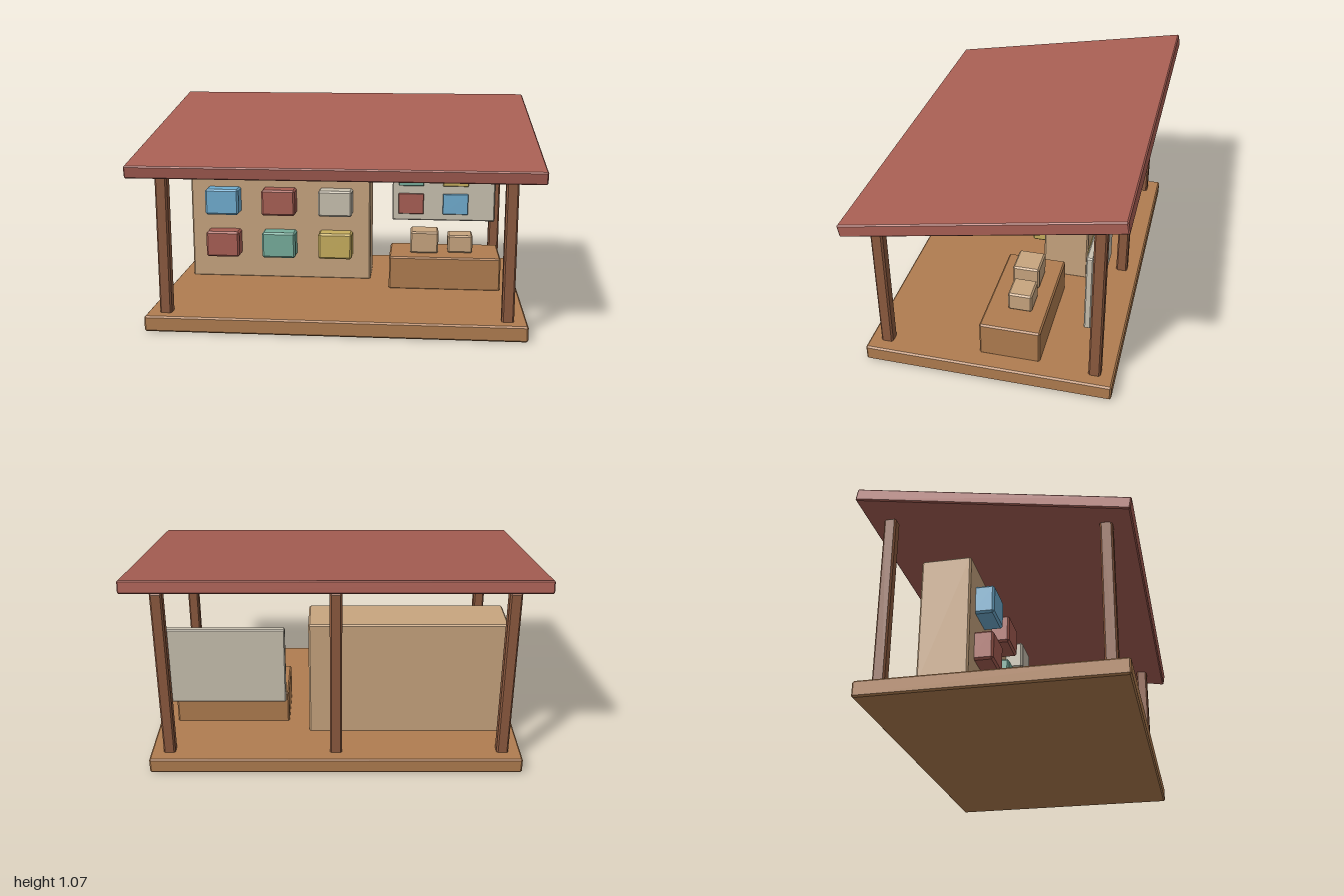
import * as THREE from 'three';
import { ConvexGeometry } from 'three/addons/geometries/ConvexGeometry.js';

const mat = (name, color) => {
  const m = new THREE.MeshStandardMaterial({ color });
  m.name = name;
  return m;
};

// Box with chamfered edges, flat faced
function chamferBox(w, h, d, b) {
  const half = [w / 2, h / 2, d / 2];
  const points = [];
  for (const sx of [-1, 1]) for (const sy of [-1, 1]) for (const sz of [-1, 1])
    for (let full = 0; full < 3; full++) {
      const c = half.map((v, i) => (i === full ? v : v - b));
      points.push(new THREE.Vector3(sx * c[0], sy * c[1], sz * c[2]));
    }
  return new ConvexGeometry(points);
}

export function createModel() {
  const group = new THREE.Group();
  group.name = 'marketShelter';

  const roofRed = mat('roof red', 0xa85f54);
  const floorWood = mat('floor wood', 0xb07d50);
  const postWood = mat('post wood', 0x8c5a3f);
  const paleWood = mat('pale wood', 0xc8a57f);
  const stone = mat('pale grey', 0xc9c1b0);
  const blue = mat('blue', 0x70add0);
  const teal = mat('teal', 0x77ae9c);
  const yellow = mat('yellow', 0xc8af5e);

  // Adds a box given by its extents on each axis
  const add = (name, material, [x0, x1], [y0, y1], [z0, z1], bevel = 0.008) => {
    const mesh = new THREE.Mesh(chamferBox(x1 - x0, y1 - y0, z1 - z0, bevel), material);
    mesh.position.set((x0 + x1) / 2, (y0 + y1) / 2, (z0 + z1) / 2);
    mesh.name = name;
    group.add(mesh);
    return mesh;
  };

  // Floor and sloping roof
  add('floor', floorWood, [-0.945, 0.945], [0, 0.08], [-0.62, 0.62]);
  const roof = add('roof', roofRed, [-1, 1], [0.896, 0.959], [-0.669, 0.669], 0.006);
  roof.rotation.x = THREE.MathUtils.degToRad(10);

  // Posts: two in front, three behind
  for (const x of [-0.85, 0.85]) add('frontPost', postWood, [x - 0.03, x + 0.03], [0.07, 0.81], [0.5, 0.56]);
  for (const x of [-0.85, 0, 0.85]) add('backPost', postWood, [x - 0.03, x + 0.03], [0.07, 0.967], [-0.555, -0.495]);

  // Cabinet with two rows of coloured boxes
  add('cabinet', paleWood, [-0.87, 0.14], [0.075, 0.705], [-0.35, -0.11]);
  const rows = [[0.525, [blue, roofRed, stone]], [0.285, [roofRed, teal, yellow]]];
  for (const [y, colours] of rows)
    colours.forEach((colour, i) => {
      const x = -0.68 + i * 0.314;
      add('displayBox', colour, [x - 0.093, x + 0.093], [y - 0.072, y + 0.072], [-0.13, -0.02], 0.01);
    });

  // Counter with two parcels
  add('counter', floorWood, [0.25, 0.85], [0.075, 0.257], [-0.25, 0.055]);
  add('largeParcel', paleWood, [0.363, 0.516], [0.257, 0.376], [-0.167, -0.031]);
  add('smallParcel', paleWood, [0.568, 0.703], [0.257, 0.354], [-0.174, -0.053]);

  // Notice board with four cards
  add('noticeBoard', stone, [0.25, 0.85], [0.342, 0.748], [-0.493, -0.459], 0.006);
  const cards = [[0.36, 0.613, teal], [0.62, 0.613, yellow], [0.36, 0.445, roofRed], [0.62, 0.445, blue]];
  for (const [x, y, colour] of cards)
    add('card', colour, [x - 0.074, x + 0.074], [y - 0.061, y + 0.061], [-0.453, -0.439], 0.003);

  return group;
}
